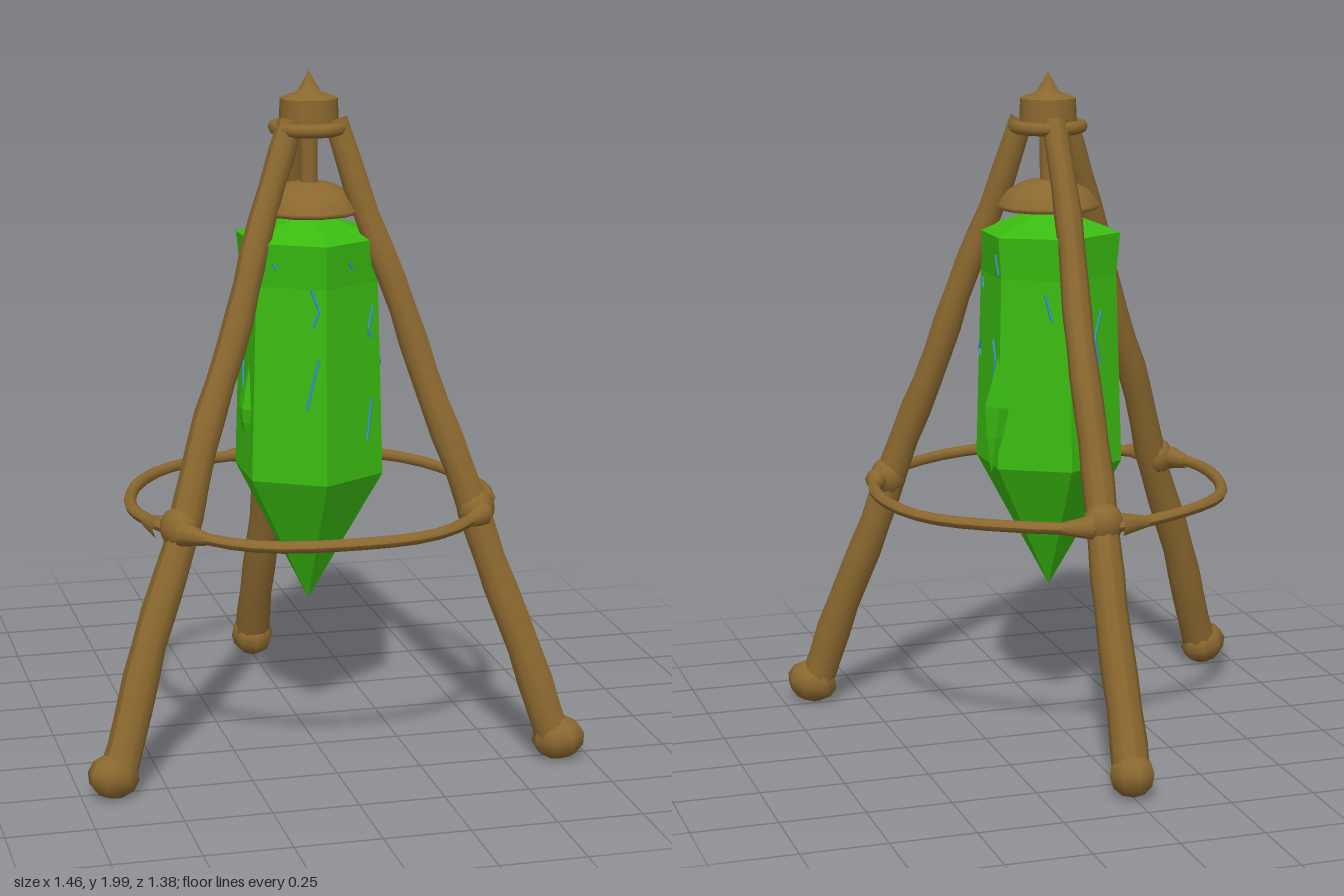
import * as THREE from 'three';

const AXIS_Z = 0.15; // the tripod's centre line
const wood = new THREE.MeshStandardMaterial({ name: 'wood brown', color: 0x8b682f });
const green = new THREE.MeshStandardMaterial({ name: 'crystal green', color: 0x3abb11 });
const blue = new THREE.MeshStandardMaterial({ name: 'vein blue', color: 0x3f9fc4 });
green.flatShading = true;

const pts = (list) => list.map(([r, y]) => new THREE.Vector2(r, y));

function add(parent, name, geometry, material, x = 0, y = 0, z = 0) {
  const mesh = new THREE.Mesh(geometry, material);
  mesh.name = name;
  mesh.position.set(x, y, z);
  parent.add(mesh);
  return mesh;
}

// Gnarled pole: a lathe whose sections drift slightly off the axis
function legGeometry(length, seed) {
  const profile = [];
  const n = 20;
  for (let i = 0; i <= n; i++) {
    const t = i / n;
    const r = 0.054 - 0.017 * t + 0.002 * Math.sin(i * 2.3 + seed);
    profile.push(new THREE.Vector2(r, t * length));
  }
  const g = new THREE.LatheGeometry(profile, 10);
  const p = g.attributes.position;
  for (let i = 0; i < p.count; i++) {
    const y = p.getY(i);
    p.setX(i, p.getX(i) + 0.004 * Math.sin(y * 9 + seed));
    p.setZ(i, p.getZ(i) + 0.004 * Math.cos(y * 11 + seed));
  }
  g.computeVertexNormals();
  return g;
}

// Leg leaning inward, built along local +z and then turned about the axis
function makeLeg(angle, seed) {
  const leg = new THREE.Group();
  leg.name = 'leg';
  const foot = new THREE.Vector3(0, 0.06, 0.755);
  const top = new THREE.Vector3(0, 1.86, 0.075);
  const dir = top.clone().sub(foot);
  const pole = add(leg, 'pole', legGeometry(dir.length(), seed), wood, 0, foot.y, foot.z);
  pole.quaternion.setFromUnitVectors(new THREE.Vector3(0, 1, 0), dir.normalize());
  // Knobbly foot, pointing outward
  const footGeo = new THREE.SphereGeometry(1, 8, 6);
  footGeo.scale(0.067, 0.064, 0.08);
  add(leg, 'foot', footGeo, wood, 0, 0.069, 0.762).rotation.x = -0.25;
  // Swollen joint where the hoop meets the pole
  const knot = new THREE.SphereGeometry(1, 10, 8);
  knot.scale(0.062, 0.062, 0.055);
  add(leg, 'joint', knot, wood, 0, 0.745, 0.505);
  for (const s of [-1, 1]) {
    const collar = new THREE.CylinderGeometry(0.018, 0.037, 0.09, 8, 1, true);
    collar.rotateZ(-s * Math.PI / 2);
    add(leg, 'jointCollar', collar, wood, s * 0.085, 0.742, 0.523).rotation.y = s * 0.15;
  }
  leg.rotation.y = angle;
  return leg;
}

// Six-sided crystal profile, from lower tip to upper tip
const CRYSTAL = [[0, 0.43], [0.225, 0.83], [0.215, 1.15], [0.207, 1.4], [0.219, 1.525], [0, 1.6]];

function crystalRadius(y) {
  for (let i = 1; i < CRYSTAL.length; i++) {
    const [r0, y0] = CRYSTAL[i - 1], [r1, y1] = CRYSTAL[i];
    if (y <= y1) return r0 + (r1 - r0) * (y - y0) / (y1 - y0);
  }
  return 0;
}

// Thin crack lying on crystal side k; points are [across, height]
function makeVein(parent, k, points) {
  const a = Math.PI / 6 + k * Math.PI / 3;
  const at = ([u, y]) => {
    const d = crystalRadius(y) * Math.cos(Math.PI / 6) + 0.001;
    return new THREE.Vector3(
      d * Math.sin(a) + u * Math.cos(a), y, d * Math.cos(a) - u * Math.sin(a));
  };
  const path = new THREE.CurvePath();
  for (let i = 1; i < points.length; i++) {
    path.add(new THREE.LineCurve3(at(points[i - 1]), at(points[i])));
  }
  add(parent, 'vein', new THREE.TubeGeometry(path, 8, 0.0048, 4), blue);
}

// Splinter: a flattened double point with its widest ring off centre
function makeShard(parent, x, z, yTop, yMid, yTip, width, depth, lean, turn) {
  const g = new THREE.LatheGeometry(
    pts([[0, yTip - yMid], [0.7, (yTip - yMid) * 0.45], [1, 0], [0, yTop - yMid]]), 5);
  g.scale(width, 1, depth);
  const shard = add(parent, 'shard', g, green, x, yMid, z);
  shard.rotation.set(0, turn, lean);
}

export function createModel() {
  const model = new THREE.Group();
  model.name = 'crystalTripod';
  const body = new THREE.Group();
  body.name = 'tripodBody';
  body.position.z = AXIS_Z;
  model.add(body);

  // Three legs, one straight back
  for (let i = 0; i < 3; i++) {
    body.add(makeLeg(Math.PI + i * Math.PI * 2 / 3, i * 1.7));
  }

  // Hoop of bent wood with a little unevenness
  const hoop = new THREE.TorusGeometry(0.528, 0.018, 8, 42);
  hoop.rotateX(Math.PI / 2);
  const hp = hoop.attributes.position;
  for (let i = 0; i < hp.count; i++) {
    const a = Math.atan2(hp.getZ(i), hp.getX(i));
    const s = 1 + 0.006 * Math.sin(a * 7);
    hp.setXYZ(i, hp.getX(i) * s, hp.getY(i) + 0.003 * Math.sin(a * 5), hp.getZ(i) * s);
  }
  hoop.computeVertexNormals();
  add(body, 'hoop', hoop, wood, 0, 0.742, 0);

  // Head: flange, drum and pointed finial
  const flange = new THREE.TorusGeometry(0.098, 0.02, 8, 20);
  flange.rotateX(Math.PI / 2);
  add(body, 'flange', flange, wood, 0, 1.836, 0);
  add(body, 'drum', new THREE.CylinderGeometry(0.083, 0.087, 0.1, 14), wood, 0, 1.87, 0);
  add(body, 'finial', new THREE.LatheGeometry(
    pts([[0.083, 1.918], [0.065, 1.928], [0.038, 1.935], [0.018, 1.965], [0, 2]]), 12), wood);

  // Hanger stem and the cap gripping the crystal
  add(body, 'stem', new THREE.CylinderGeometry(0.026, 0.026, 0.2, 8), wood, 0, 1.74, 0);
  add(body, 'cap', new THREE.LatheGeometry(
    pts([[0, 1.585], [0.15, 1.592], [0.157, 1.605], [0.125, 1.645], [0.07, 1.673], [0, 1.682]]), 12), wood);

  // Hanging crystal with an edge facing front
  const crystal = new THREE.Group();
  crystal.name = 'crystal';
  body.add(crystal);
  add(crystal, 'crystalBody', new THREE.LatheGeometry(pts(CRYSTAL), 6), green);

  // Splinters on both sides
  makeShard(crystal, 0.195, -0.1, 1.2, 1.02, 0.82, 0.03, 0.05, 0.1, 0.3);
  makeShard(crystal, -0.19, 0.04, 1.2, 1.03, 0.94, 0.026, 0.045, -0.08, 0.2);

  // Blue cracks, listed as [side, points]
  const veins = [
    [0, [[0.08, 1.33], [0.06, 1.26], [0.075, 1.24]]],
    [0, [[0.07, 1.06], [0.05, 0.94]]],
    [0, [[-0.02, 1.47], [-0.005, 1.45]]],
    [5, [[0.06, 1.4], [0.085, 1.34], [0.065, 1.29]]],
    [5, [[0.085, 1.2], [0.05, 1.05]]],
    [5, [[-0.05, 1.47], [-0.04, 1.45]]],
    [1, [[0.07, 1.21], [0.1, 1.15]].map(([u, y]) => [u - 0.03, y]).concat([[0.05, 1.08]])],
    [1, [[0.07, 1.47], [0.085, 1.41]]],
    [1, [[-0.08, 1.38], [-0.07, 1.35]]],
    [1, [[-0.08, 1.19], [-0.1, 1.16], [-0.08, 1.14]]],
    [4, [[0.02, 1.42], [-0.01, 1.36], [0.02, 1.3]]],
    [4, [[-0.04, 1.18], [-0.02, 1.06]]],
    [3, [[0.03, 1.3], [0, 1.22], [0.02, 1.14]]],
    [3, [[-0.05, 1.46], [-0.04, 1.42]]],
    [2, [[0.03, 1.36], [0.05, 1.28]]],
  ];
  for (const [side, points] of veins) makeVein(crystal, side, points);

  return model;
}
